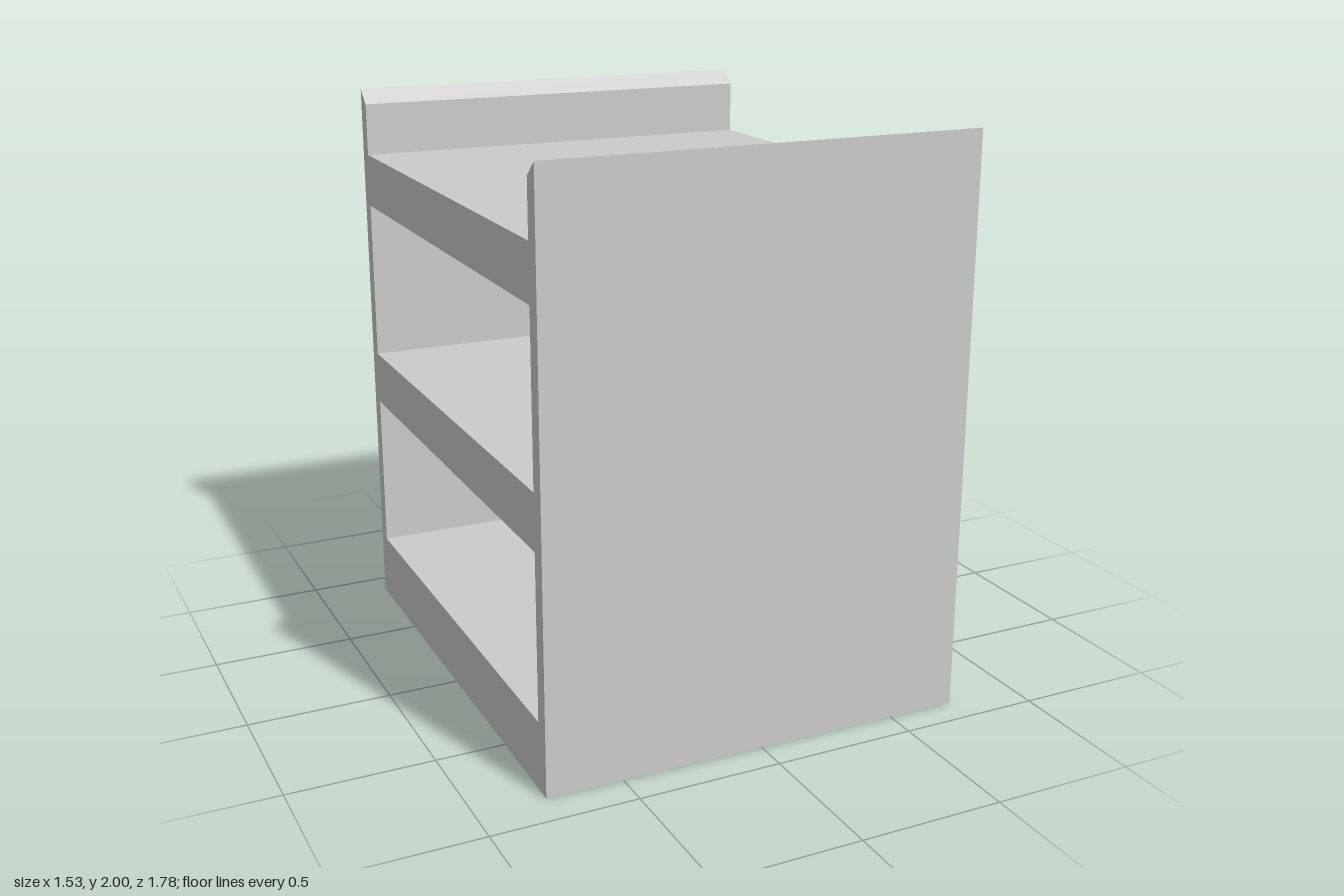
import * as THREE from 'three';

const WIDTH = 1.506;   // length along x
const OUTER = 0.883;   // half depth to the outside of the walls
const INNER = 0.826;   // half depth to the inside of the walls
const BAYS = [[0.238, 0.808], [1.0, 1.574]]; // open bays, bottom to top
const TOP_SHELF = 1.764;
const BEVEL = 1.95;    // the bevel rises from here to the outer edge
const HEIGHT = 2;

export function createModel() {
  const model = new THREE.Group();
  model.name = 'shelfUnit';

  // side profile: two walls with bevelled tops around the top shelf
  const profile = new THREE.Shape([
    [-OUTER, 0], [OUTER, 0], [OUTER, HEIGHT], [INNER, BEVEL], [INNER, TOP_SHELF],
    [-INNER, TOP_SHELF], [-INNER, BEVEL], [-OUTER, HEIGHT],
  ].map(([z, y]) => new THREE.Vector2(z, y)));

  // bays open right through from side to side
  for (const [low, high] of BAYS) {
    profile.holes.push(new THREE.Path([
      [-INNER, low], [-INNER, high], [INNER, high], [INNER, low],
    ].map(([z, y]) => new THREE.Vector2(z, y))));
  }

  const geometry = new THREE.ExtrudeGeometry(profile, { depth: WIDTH, bevelEnabled: false });
  geometry.translate(0, 0, -WIDTH / 2);
  geometry.rotateY(-Math.PI / 2);

  const frame = new THREE.Mesh(geometry, new THREE.MeshStandardMaterial({ color: 0xcccccc, flatShading: true }));
  frame.name = 'wallsAndShelves';
  frame.rotation.y = -0.0122; // stands slightly turned
  model.add(frame);
  return model;
}
